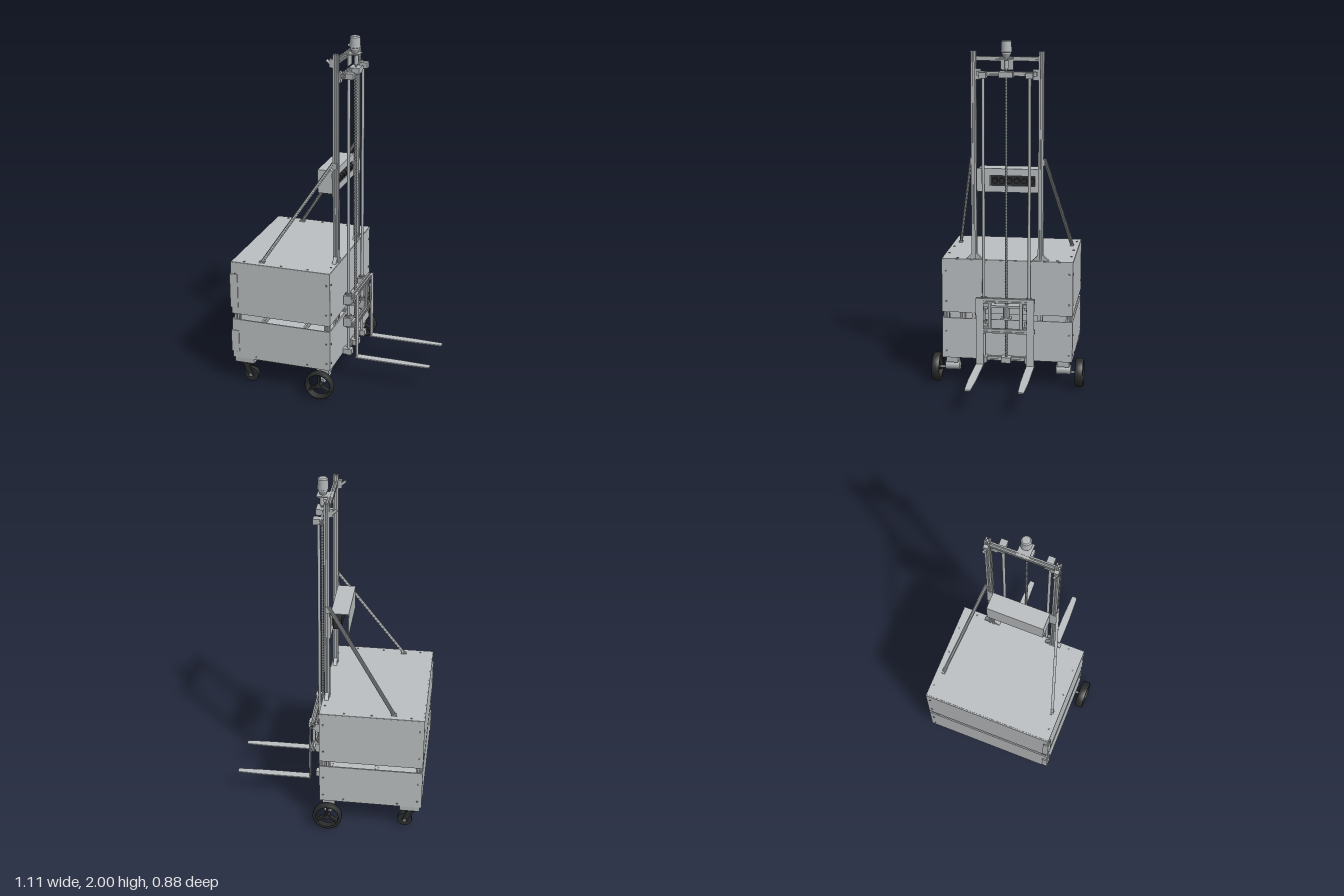
import * as THREE from 'three';

const mat = (name, color, extra = {}) => Object.assign(new THREE.MeshStandardMaterial({ color, ...extra }), { name });

export function createModel() {
  const panel = mat('panel grey', 0xbcc0c2);
  const alu = mat('aluminium', 0xb2b6b8);
  const steel = mat('steel', 0x85898c);
  const black = mat('black rubber', 0x2b2c2d);
  const root = new THREE.Group();
  root.name = 'forkLiftCart';

  const add = (name, geo, m, x = 0, y = 0, z = 0, parent = root) => {
    const mesh = new THREE.Mesh(geo, m);
    mesh.name = name;
    mesh.position.set(x, y, z);
    parent.add(mesh);
    return mesh;
  };
  // Box given by its minimum and maximum on each axis
  const box = (name, m, x0, x1, y0, y1, z0, z1, parent) =>
    add(name, new THREE.BoxGeometry(x1 - x0, y1 - y0, z1 - z0), m,
      (x0 + x1) / 2, (y0 + y1) / 2, (z0 + z1) / 2, parent);
  // Cylinder along an axis
  const cyl = (name, m, r, len, x, y, z, axis = 'y', r2 = r, seg = 20, parent = root) => {
    const g = new THREE.CylinderGeometry(r, r2, len, seg);
    if (axis === 'x') g.rotateZ(-Math.PI / 2);
    if (axis === 'z') g.rotateX(Math.PI / 2);
    return add(name, g, m, x, y, z, parent);
  };
  // Slotted extrusion running between two points
  const rail = (name, a, b, w = 0.03) => {
    const h = w / 2, s = w * 0.14, d = w * 0.28, pts = [];
    for (let i = 0; i < 4; i++) {
      for (const [x, y] of [[h, -h], [h, -s], [h - d, -s], [h - d, s], [h, s]]) {
        pts.push(new THREE.Vector2(x, y).rotateAround(new THREE.Vector2(), i * Math.PI / 2));
      }
    }
    const A = new THREE.Vector3(...a), B = new THREE.Vector3(...b);
    const g = new THREE.ExtrudeGeometry(new THREE.Shape(pts), { depth: A.distanceTo(B), bevelEnabled: false });
    const mesh = add(name, g, alu, ...a);
    mesh.lookAt(B);
    return mesh;
  };
  const sides = [1, -1];

  // Cabinet: panels in two tiers with a gap between them
  for (const [y0, y1] of [[0.16, 0.4], [0.435, 0.75]]) {
    box('backPanel', panel, -0.55, -0.543, y0, y1, -0.378, 0.378);
    box('frontPanel', panel, 0.03, 0.037, y0, y1, -0.378, 0.378);
    for (const s of sides) {
      box('sidePanel', panel, -0.543, 0.03, y0, y1, s * 0.374 - 0.004, s * 0.374 + 0.004);
    }
    // Corner strips on the back left edge
    box('cornerStrip', panel, -0.555, -0.51, y0 + 0.04, y1 - 0.07, 0.378, 0.383);
    box('cornerStrip', panel, -0.556, -0.55, y0 + 0.04, y1 - 0.07, 0.35, 0.383);
  }
  box('topPanel', panel, -0.543, 0.035, 0.745, 0.753, -0.377, 0.377);
  box('floorPanel', panel, -0.54, 0.03, 0.178, 0.186, -0.37, 0.37);

  // Cabinet frame
  for (const s of sides) {
    for (const x of [-0.525, 0.013]) rail('cornerPost', [x, 0.162, s * 0.353], [x, 0.743, s * 0.353]);
    rail('floorRail', [-0.51, 0.176, s * 0.353], [0, 0.176, s * 0.353]);
    rail('topRail', [-0.51, 0.729, s * 0.353], [0, 0.729, s * 0.353]);
  }
  for (const x of [-0.525, -0.26, 0.013]) rail('floorCrossRail', [x, 0.176, -0.338], [x, 0.176, 0.338]);
  rail('floorCentreRail', [-0.51, 0.176, 0], [0, 0.176, 0]);

  // Inner turntable seen through the gap
  box('innerPlate', alu, -0.24, -0.1, 0.396, 0.402, -0.06, 0.06);
  cyl('innerDrum', black, 0.058, 0.035, -0.182, 0.418, 0);

  // Panel screws
  for (const s of sides) {
    for (const x of [-0.475, -0.255, -0.1]) cyl('screw', steel, 0.006, 0.004, x, 0.754, s * 0.356, 'y', 0.006, 10);
    cyl('screw', steel, 0.006, 0.004, 0.015, 0.754, s * 0.288, 'y', 0.006, 10);
    for (const y of [0.2, 0.32, 0.5, 0.68]) {
      for (const x of [-0.525, 0.015]) cyl('screw', steel, 0.006, 0.004, x, y, s * 0.379, 'z', 0.006, 10);
      cyl('screw', steel, 0.006, 0.004, 0.038, y, s * 0.356, 'x', 0.006, 10);
      cyl('screw', steel, 0.006, 0.004, -0.551, y, s * 0.356, 'x', 0.006, 10);
    }
    for (const x of [-0.41, -0.1]) cyl('screw', steel, 0.006, 0.004, x, 0.176, s * 0.379, 'z', 0.006, 10);
  }

  // Mast posts, gussets and diagonal braces
  const tri = new THREE.Shape([[0, 0], [0.032, 0], [0, 0.032]].map(p => new THREE.Vector2(...p)));
  for (const s of sides) {
    rail('mastPost', [0.014, 0.19, s * 0.19], [0.014, 1.937, s * 0.19]);
    for (const d of sides) {
      const g = add('mastGusset', new THREE.ExtrudeGeometry(tri, { depth: 0.022, bevelEnabled: false }), alu,
        d > 0 ? 0.003 : 0.025, 0.753, s * 0.19 + d * 0.015);
      g.rotation.y = d > 0 ? -Math.PI / 2 : Math.PI / 2;
      if (d > 0) g.position.x = 0.025;
      else g.position.x = 0.003;
    }
    rail('diagonalBrace', [-0.38, 0.75, s * 0.337], [0.003, 1.335, s * 0.208], 0.016);
    box('braceFoot', alu, -0.392, -0.36, 0.752, 0.76, s * 0.335 - 0.01, s * 0.335 + 0.01);
    box('braceTab', alu, -0.004, 0.022, 1.3, 1.335, s * 0.208 - 0.004, s * 0.208 + 0.004);
    // Small pulley brackets behind the mast head
    box('headBracket', alu, -0.02, 0, 1.865, 1.91, s * 0.19 - 0.013, s * 0.19 + 0.013);
    const knob = cyl('headClamp', alu, 0.008, 0.045, -0.022, 1.888, s * 0.19, 'x', 0.008, 10);
    knob.rotation.z = -0.7;
    // Guide rods with clamps at both ends
    cyl('guideRod', alu, 0.0085, 1.68, 0.066, 0.985, s * 0.13);
    box('topRodClamp', alu, 0.03, 0.095, 1.793, 1.825, s * 0.13 - 0.02, s * 0.13 + 0.02);
    box('bottomRodClamp', alu, 0.038, 0.09, 0.157, 0.19, s * 0.13 - 0.02, s * 0.13 + 0.02);
    box('railEndPlate', alu, 0.028, 0.036, 1.78, 1.84, s * 0.165 - 0.02, s * 0.165 + 0.02);
  }
  rail('mastTopRail', [0.014, 1.895, -0.175], [0.014, 1.895, 0.175], 0.024);
  rail('rodTopRail', [0.043, 1.815, -0.168], [0.043, 1.815, 0.168], 0.024);
  rail('rodBottomRail', [0.05, 0.173, -0.12], [0.05, 0.173, 0.12], 0.022);

  // Lift motor and threaded screw
  box('motorBackPlate', alu, 0.026, 0.032, 1.835, 1.905, -0.036, 0.036);
  box('motorPlate', alu, 0.0, 0.092, 1.898, 1.905, -0.036, 0.036);
  const motor = [[0, 0], [0.017, 0], [0.027, 0.022], [0.027, 0.03], [0.031, 0.032], [0.028, 0.088], [0.022, 0.094], [0, 0.095]];
  const m = add('liftMotor', new THREE.LatheGeometry(motor.map(p => new THREE.Vector2(...p)), 28).toNonIndexed(), alu, 0.06, 1.905, 0);
  m.geometry.computeVertexNormals();
  cyl('motorCoupling', alu, 0.012, 0.045, 0.066, 1.868, 0);
  box('screwTopBearing', alu, 0.035, 0.095, 1.797, 1.83, -0.038, 0.038);
  box('screwBottomBearing', alu, 0.045, 0.09, 0.157, 0.19, -0.028, 0.028);
  const thread = [];
  for (let i = 0; i <= 200; i++) thread.push(new THREE.Vector2(i % 2 ? 0.0085 : 0.005, 0.16 + i * 0.00845));
  add('leadScrew', new THREE.LatheGeometry(thread, 10), steel, 0.066, 0, 0);

  // Control box: slotted face plate, sheet tray and electronics
  const face = new THREE.Shape();
  face.moveTo(-0.205, 1.14).lineTo(0.205, 1.14).lineTo(0.205, 1.275).lineTo(-0.205, 1.275);
  const slot = new THREE.Path();
  slot.moveTo(-0.105, 1.178).lineTo(-0.105, 1.235).lineTo(0.155, 1.235).lineTo(0.155, 1.178);
  face.holes.push(slot);
  const plate = add('controlFacePlate', new THREE.ExtrudeGeometry(face, { depth: 0.005, bevelEnabled: false }), panel, -0.007, 0, 0);
  plate.rotation.y = Math.PI / 2;
  box('controlTop', panel, -0.1, -0.007, 1.271, 1.275, -0.168, 0.166);
  box('controlBack', panel, -0.102, -0.098, 1.14, 1.275, -0.168, 0.166);
  box('controlEnd', panel, -0.1, -0.007, 1.14, 1.275, 0.162, 0.166);
  box('electronics', black, -0.06, -0.015, 1.175, 1.235, -0.16, 0.1);
  for (let i = 0; i < 6; i++) {
    cyl('terminal', black, 0.016, 0.02, -0.006, 1.206, 0.075 - i * 0.042, 'x', 0.016, 10);
  }
  for (const s of sides) cyl('plateScrew', steel, 0.007, 0.005, 0, 1.208, s * 0.19, 'x', 0.007, 10);

  // Carriage with sliding blocks and forks
  for (const s of sides) {
    for (const y of [0.365, 0.503]) {
      box('slideBlock', alu, 0.045, 0.09, y - 0.027, y + 0.027, s * 0.13 - 0.026, s * 0.13 + 0.026);
      cyl('slideBearing', steel, 0.017, 0.075, 0.066, y, s * 0.13);
      box('blockArm', alu, 0.09, 0.104, y - 0.01, y + 0.01, s * 0.13 - 0.03, s * 0.13 + 0.03);
      cyl('blockBolt', steel, 0.007, 0.02, 0.11, y - 0.018, s * 0.13, 'x', 0.007, 10);
    }
    box('forkShank', panel, 0.119, 0.126, 0.15, 0.55, s * 0.145 - 0.022, s * 0.145 + 0.022);
    // Tapered tine
    const t = new THREE.Shape([[0.119, -0.023], [0.4, -0.023], [0.545, -0.017], [0.556, -0.014],
      [0.556, 0.014], [0.545, 0.017], [0.4, 0.023], [0.119, 0.023]].map(p => new THREE.Vector2(...p)));
    const tine = add('forkTine', new THREE.ExtrudeGeometry(t, { depth: 0.007, bevelEnabled: false }), panel, 0, 0.155, s * 0.146);
    tine.rotation.x = Math.PI / 2;
    tine.position.y = 0.157;
  }
  rail('carriageTopRail', [0.106, 0.535, -0.168], [0.106, 0.535, 0.168], 0.026);
  rail('carriageLowerRail', [0.106, 0.355, -0.168], [0.106, 0.355, 0.168], 0.024);
  for (const s of sides) rail('carriageUpright', [0.106, 0.367, s * 0.09], [0.106, 0.522, s * 0.09], 0.018);
  box('nutBracket', alu, 0.046, 0.095, 0.488, 0.5, -0.1, 0.1);
  cyl('screwNut', steel, 0.02, 0.07, 0.066, 0.455, 0);
  box('nutFlange', alu, 0.046, 0.092, 0.415, 0.425, -0.03, 0.03);

  // Drive wheels: tyre, three spokes, hub, axle and gear motor
  const tyre = [[0.066, -0.02], [0.077, -0.023], [0.083, -0.016], [0.084, 0], [0.083, 0.016], [0.077, 0.023], [0.066, 0.02], [0.066, -0.02]];
  for (const s of sides) {
    const w = new THREE.Group();
    w.name = 'driveWheel';
    w.position.set(-0.014, 0.085, s * 0.418);
    root.add(w);
    add('tyre', new THREE.LatheGeometry(tyre.map(p => new THREE.Vector2(...p)), 36).rotateX(Math.PI / 2), black, 0, 0, 0, w);
    cyl('hub', black, 0.017, 0.038, 0, 0, 0, 'z', 0.017, 20, w);
    for (let i = 0; i < 3; i++) {
      const a = Math.PI / 2 + i * Math.PI * 2 / 3;
      const spoke = add('spoke', new THREE.BoxGeometry(0.056, 0.012, 0.026), black, Math.cos(a) * 0.04, Math.sin(a) * 0.04, 0, w);
      spoke.rotation.z = a;
    }
    cyl('axle', steel, 0.008, 0.06, -0.014, 0.085, s * 0.385, 'z');
    cyl('gearMotor', alu, 0.028, 0.085, -0.014, 0.1, s * 0.325, 'z');
    box('motorBracket', alu, -0.05, 0.022, 0.125, 0.161, s * 0.325 - 0.035, s * 0.325 + 0.035);

    // Swivel casters
    box('casterMount', alu, -0.54, -0.425, 0.13, 0.161, s * 0.33 - 0.045, s * 0.33 + 0.045);
    box('casterPlate', black, -0.52, -0.445, 0.118, 0.13, s * 0.33 - 0.036, s * 0.33 + 0.036);
    cyl('casterSwivel', black, 0.03, 0.018, -0.483, 0.11, s * 0.33);
    cyl('casterWheel', black, 0.042, 0.03, -0.455, 0.043, s * 0.33, 'z', 0.042, 28);
    cyl('casterAxle', steel, 0.01, 0.054, -0.455, 0.043, s * 0.33, 'z');
    for (const d of sides) {
      const f = add('casterFork', new THREE.BoxGeometry(0.03, 0.08, 0.006), black, -0.468, 0.073, s * 0.33 + d * 0.021);
      f.rotation.z = 0.4;
    }
  }
  return root;
}
